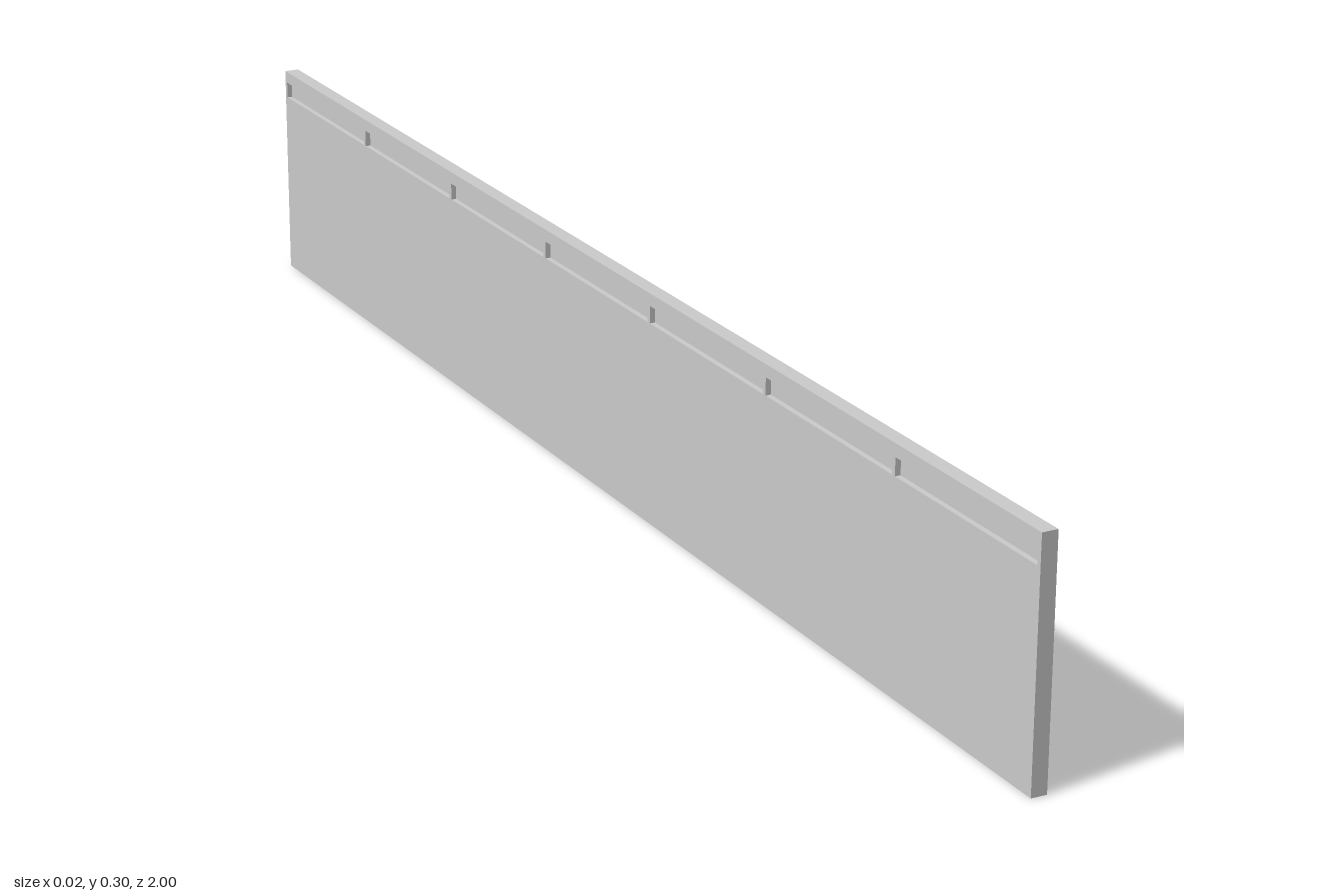
import * as THREE from 'three';

export function createModel() {
  const model = new THREE.Group();
  model.name = 'slottedPanel';
  const material = new THREE.MeshStandardMaterial({ color: 0xcccccc, flatShading: true });

  const LENGTH = 2, WIDTH = 0.02, HEIGHT = 0.297;
  const SLOT_BOTTOM = 0.259, SLOT_TOP = 0.281;
  const BAYS = 7, RIB = 0.006, CORE = 0.006;

  // Box spanning y0..y1, centred on x = 0 and the given z
  function addBox(name, width, y0, y1, length, z = 0) {
    const mesh = new THREE.Mesh(new THREE.BoxGeometry(width, y1 - y0, length), material);
    mesh.name = name;
    mesh.position.set(0, (y0 + y1) / 2, z);
    model.add(mesh);
  }

  // Main board, top rail and the thin web recessed between them
  addBox('board', WIDTH, 0, SLOT_BOTTOM, LENGTH);
  addBox('topRail', WIDTH, SLOT_TOP, HEIGHT, LENGTH);
  addBox('recessedWeb', CORE, SLOT_BOTTOM, SLOT_TOP, LENGTH - RIB);

  // Ribs dividing the groove into equal bays, including both ends
  for (let i = 0; i <= BAYS; i++) {
    const z = (i / BAYS - 0.5) * (LENGTH - RIB);
    addBox('rib', WIDTH, SLOT_BOTTOM, SLOT_TOP, RIB, z);
  }
  return model;
}
